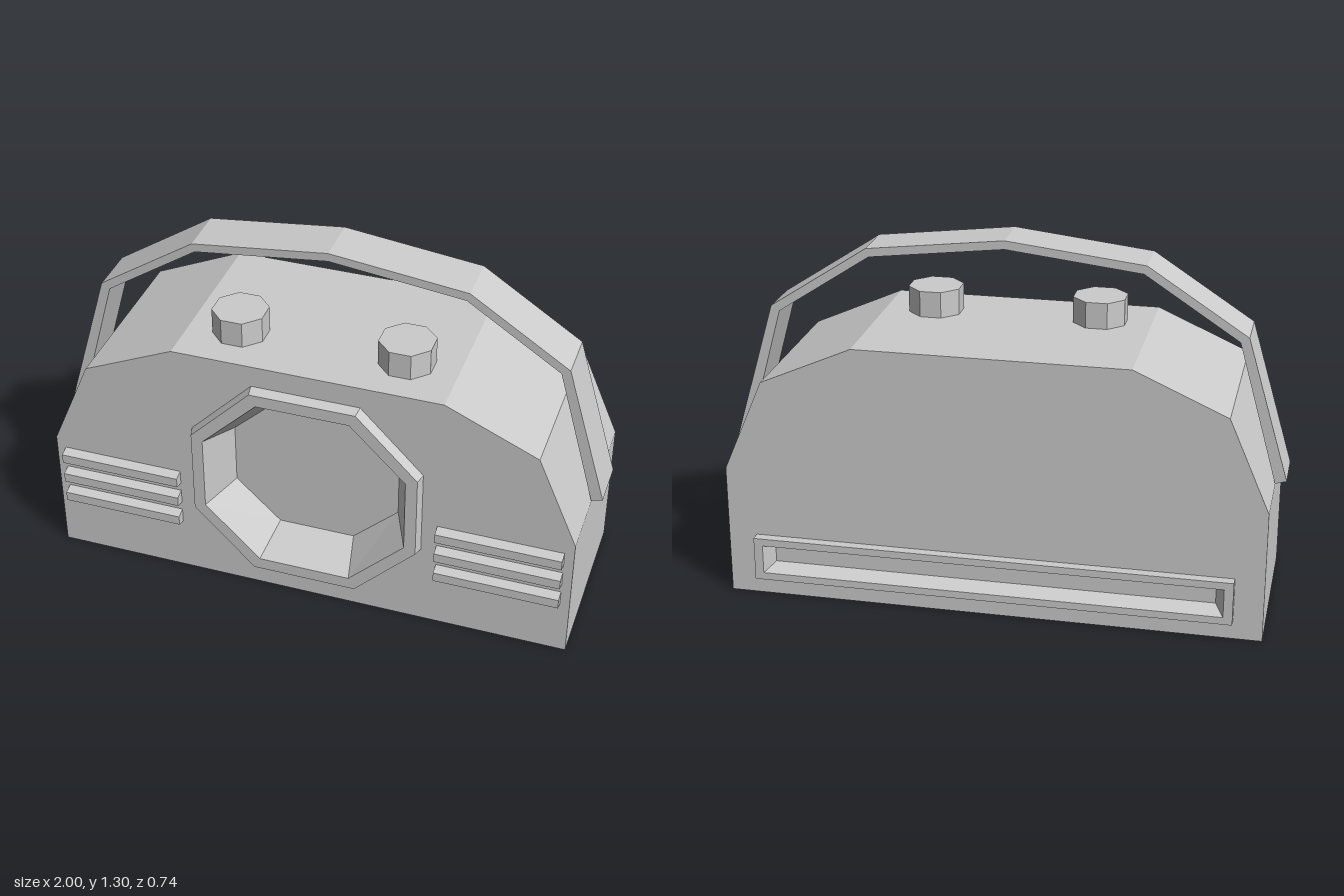
import * as THREE from 'three';

const material = new THREE.MeshStandardMaterial({ color: 0xcccccc, flatShading: true });

function add(parent, name, geometry) {
  const mesh = new THREE.Mesh(geometry, material);
  mesh.name = name;
  parent.add(mesh);
  return mesh;
}

// Counter-clockwise outlines in the xy plane
const rect = (w, h, cy) => [[-w, cy - h], [w, cy - h], [w, cy + h], [-w, cy + h]];
const octagon = (w, h, a, b, cy) => [
  [-a, -h], [a, -h], [w, -b], [w, b], [a, h], [-a, h], [-w, b], [-w, -b],
].map(([x, y]) => [x, y + cy]);
const toPath = (pts, Type = THREE.Shape) => new Type(pts.map(([x, y]) => new THREE.Vector2(x, y)));

// Flat-faced skin through outlines [points, z], optionally capped at the last one
function loft(sections, cap = false) {
  const rings = sections.map(([pts, z]) => pts.map(([x, y]) => [x, y, z]));
  const out = [];
  const n = rings[0].length;
  for (let k = 0; k + 1 < rings.length; k++) {
    for (let i = 0; i < n; i++) {
      const j = (i + 1) % n;
      const [a, b, c, d] = [rings[k][i], rings[k][j], rings[k + 1][j], rings[k + 1][i]];
      out.push(...a, ...b, ...c, ...a, ...c, ...d);
    }
  }
  if (cap) {
    const last = rings[rings.length - 1];
    for (let i = 1; i + 1 < n; i++) out.push(...last[0], ...last[i], ...last[i + 1]);
  }
  const geometry = new THREE.BufferGeometry();
  geometry.setAttribute('position', new THREE.Float32BufferAttribute(out, 3));
  geometry.computeVertexNormals();
  return geometry;
}

// Flat body wall with an opening
function wall(outline, opening) {
  const shape = toPath(outline);
  shape.holes.push(toPath(opening, THREE.Path));
  return new THREE.ShapeGeometry(shape);
}

export function createModel() {
  const root = new THREE.Group();
  root.name = 'portableRadio';
  const depth = 0.335;

  // Body: chamfered arch outline with openings front and back
  const outline = [
    [-0.96, 0], [0.96, 0], [0.96, 0.48], [0.815, 0.815],
    [0.485, 0.962], [-0.485, 0.962], [-0.815, 0.815], [-0.96, 0.48],
  ];
  const speakerBase = octagon(0.422, 0.397, 0.195, 0.165, 0.485);
  const panelBase = rect(0.857, 0.08, 0.15);
  const body = new THREE.Group();
  body.name = 'body';
  root.add(body);
  add(body, 'bodyShell', loft([[outline, -depth], [outline, depth]]));
  add(body, 'bodyFront', wall(outline, speakerBase).translate(0, 0, depth));
  add(body, 'bodyBack', wall(outline, panelBase).translate(0, 0, depth).rotateY(Math.PI));

  // Speaker: raised bevelled frame and funnel-shaped recess
  add(root, 'speaker', loft([
    [speakerBase, depth],
    [octagon(0.412, 0.387, 0.19, 0.161, 0.485), 0.372],
    [octagon(0.37, 0.342, 0.168, 0.142, 0.485), 0.372],
    [octagon(0.305, 0.27, 0.14, 0.115, 0.485), 0.225],
  ], true));

  // Back panel: raised frame around a shallow slot
  add(root, 'backPanel', loft([
    [panelBase, depth],
    [panelBase, 0.372],
    [rect(0.825, 0.053, 0.15), 0.372],
    [rect(0.793, 0.027, 0.15), 0.32],
  ], true).rotateY(Math.PI));

  // Grille bars and knobs on both sides
  for (const [side, s] of [['left', 1], ['right', -1]]) {
    for (const y of [0.237, 0.325, 0.412]) {
      const bar = add(root, side + 'GrilleBar', loft([
        [rect(0.224, 0.028, y), depth],
        [rect(0.224, 0.018, y), 0.37],
      ], true));
      bar.position.x = s * 0.702;
    }
    const knob = add(root, side + 'Knob',
      new THREE.CylinderGeometry(0.1, 0.1, 0.096, 8).rotateY(Math.PI / 8));
    knob.position.set(s * 0.3, 1.009, 0.142);
  }

  // Carrying handle: faceted strap with mirrored halves
  const mirror = ([x, y]) => [-x, y];
  const outer = [[1, 0.5], [0.848, 1.015], [0.493, 1.247]];
  const inner = [[0.96, 0.488], [0.818, 0.997], [0.483, 1.217]];
  const strap = toPath([
    ...outer, [0, 1.305], ...outer.map(mirror).reverse(),
    ...inner.map(mirror), [0, 1.274], ...inner.slice().reverse(),
  ]);
  add(root, 'handle', new THREE.ExtrudeGeometry(strap, { depth: 0.18, bevelEnabled: false })
    .translate(0, 0, -0.09));

  return root;
}
